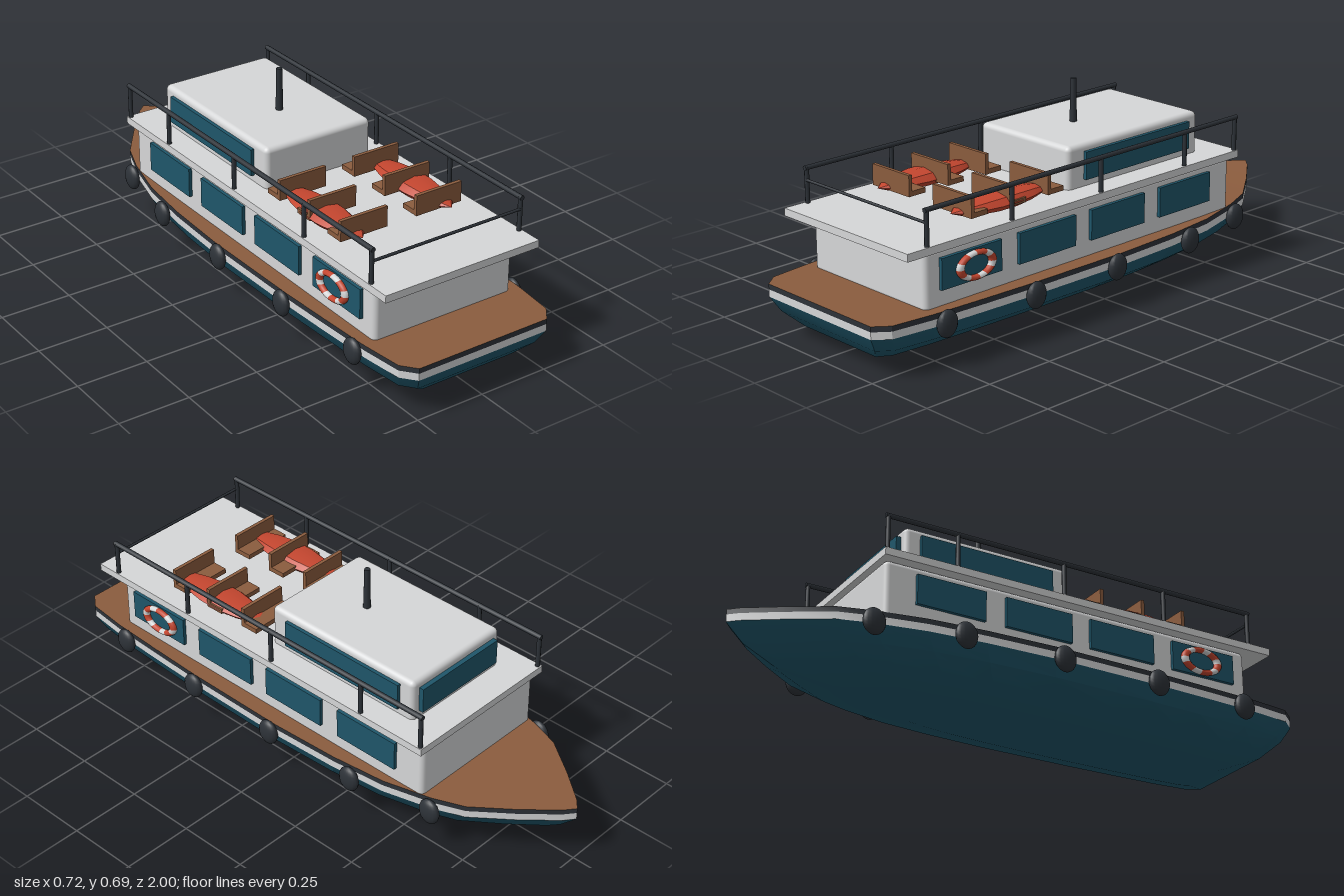
import * as THREE from 'three';
import { toCreasedNormals } from 'three/addons/utils/BufferGeometryUtils.js';
import { RoundedBoxGeometry } from 'three/addons/geometries/RoundedBoxGeometry.js';

const mat = (name, color) => Object.assign(new THREE.MeshStandardMaterial({ color }), { name });
const teal = mat('teal', 0x1f566a);
const white = mat('white', 0xd6d7d8);
const dark = mat('charcoal', 0x2d3238);
const wood = mat('wood', 0x8b5c3e);
const red = mat('red', 0xc4462f);

// Half plan outline of the deck edge, bow to stern: [x, z]
const outline = [[0, -1], [0.035, -0.97], [0.125, -0.86], [0.22, -0.73], [0.26, -0.62], [0.3, -0.45],
  [0.32, -0.25], [0.33, 0], [0.325, 0.4], [0.317, 0.6], [0.307, 0.8], [0.29, 0.95], [0.25, 1]];

// One side of the hull at a level: height, width scale, bow z and stern z
function halfRing([y, width, bow, stern]) {
  return outline.map(([x, z]) => {
    const rise = 0.022 * Math.max(0, (-z - 0.3) / 0.7) ** 2 * Math.min(1, y / 0.14);
    return [x * width, y + rise, bow + (z + 1) / 2 * (stern - bow)];
  });
}
const flip = ([x, y, z]) => [-x, y, z];

function fromQuads(quads) {
  const positions = [];
  for (const [a, b, c, d] of quads) positions.push(...a, ...b, ...c, ...a, ...c, ...d);
  const geometry = new THREE.BufferGeometry();
  geometry.setAttribute('position', new THREE.Float32BufferAttribute(positions, 3));
  return toCreasedNormals(geometry, 0.5);
}

// Skin through the levels, with an optional flat bottom
function hullSkin(levels, bottom) {
  const rings = levels.map((level) => {
    const half = halfRing(level);
    return [...half, ...half.slice(1).reverse().map(flip)];
  });
  const quads = [];
  for (let k = 0; k + 1 < rings.length; k++) {
    const lo = rings[k], hi = rings[k + 1];
    lo.forEach((p, i) => {
      const j = (i + 1) % lo.length;
      quads.push([p, hi[i], hi[j], lo[j]]);
    });
  }
  if (bottom) quads.push(...strip(levels[0]).map((q) => q.reverse()));
  return fromQuads(quads);
}

// Flat surface between both sides of a level
function strip(level) {
  const half = halfRing(level);
  return half.slice(1).map((p, i) => [half[i], flip(half[i]), flip(p), p]);
}

export function createModel() {
  const group = new THREE.Group();
  const add = (name, geometry, material, x = 0, y = 0, z = 0, parent = group) => {
    const mesh = new THREE.Mesh(geometry, material);
    mesh.name = name;
    mesh.position.set(x, y, z);
    parent.add(mesh);
    return mesh;
  };
  const box = (w, h, d) => new THREE.BoxGeometry(w, h, d);

  // Hull, painted bands and deck
  add('hull', hullSkin([[0, 0.31, -0.5, 0.8], [0.04, 0.69, -0.82, 0.92], [0.09, 0.92, -0.94, 0.97],
    [0.141, 1, -1, 1]], true), teal);
  add('hullStripe', hullSkin([[0.141, 1, -1, 1], [0.166, 1, -1, 1]]), white);
  add('rubRail', hullSkin([[0.166, 1, -1, 1], [0.184, 1, -1, 1]]), dark);
  add('deck', fromQuads(strip([0.184, 1, -1, 1])), wood);

  // Cabins and roof
  add('mainCabin', new RoundedBoxGeometry(0.54, 0.2, 1.39, 3, 0.018), white, 0, 0.272, 0.105);
  add('roof', box(0.596, 0.026, 1.495), white, 0, 0.385, 0.143);
  add('upperCabin', new RoundedBoxGeometry(0.418, 0.16, 0.62, 3, 0.018), white, 0, 0.463, -0.18);
  add('upperFrontWindow', box(0.36, 0.09, 0.02), teal, 0, 0.47, -0.497);
  add('mast', new THREE.CylinderGeometry(0.01, 0.013, 0.155, 12), dark, 0, 0.615, -0.1);

  const sphere = new THREE.SphereGeometry(1, 16, 12);
  const fenders = [[0.318, 0.755], [0.335, 0.395], [0.338, 0.03], [0.331, -0.33], [0.274, -0.625]];

  for (const side of [1, -1]) {
    // Side windows
    add('upperSideWindow', box(0.02, 0.095, 0.495), teal, side * 0.212, 0.47, -0.188);
    for (const z of [0.617, 0.291, -0.03, -0.355]) {
      add('cabinWindow', box(0.02, 0.104, 0.25), teal, side * 0.272, 0.29, z);
    }

    // Lifebuoy in alternating colours
    const buoy = new THREE.Group();
    buoy.name = 'lifebuoy';
    buoy.position.set(side * 0.287, 0.289, 0.605);
    buoy.rotation.y = Math.PI / 2;
    buoy.scale.set(1, 0.6, 0.85);
    group.add(buoy);
    for (let i = 0; i < 12; i++) {
      const arc = THREE.MathUtils.degToRad(i % 2 ? 25 : 35);
      const piece = add('lifebuoySection', new THREE.TorusGeometry(0.067, 0.015, 10, 5, arc),
        i % 2 ? white : red, 0, 0, 0, buoy);
      piece.rotation.z = THREE.MathUtils.degToRad(Math.floor(i / 2) * 60 + (i % 2 ? 35 : 0));
    }

    // Fenders along the hull
    for (const [x, z] of fenders) {
      add('fender', sphere, dark, side * x, 0.145, z).scale.set(0.02, 0.046, 0.04);
    }

    // Roof railing
    for (const z of [0.805, 0.455, 0.06, -0.34, -0.593]) {
      add('railPost', new THREE.CylinderGeometry(0.008, 0.008, 0.122, 8), dark, side * 0.288, 0.457, z);
    }
    const rail = add('topRail', new THREE.CylinderGeometry(0.0085, 0.0085, 1.415, 8), dark,
      side * 0.288, 0.515, 0.106);
    rail.rotation.x = Math.PI / 2;

    // Benches
    for (const z of [0.242, 0.407, 0.572]) {
      add('benchSeat', box(0.18, 0.017, 0.064), wood, side * 0.147, 0.427, z - 0.03);
      add('benchBack', box(0.18, 0.072, 0.013), wood, side * 0.147, 0.454, z);
    }

    // Kayak with pointed ends
    const profile = [[0, -0.205], [0.035, -0.165], [0.052, -0.11], [0.064, -0.04], [0.064, 0.04],
      [0.052, 0.11], [0.035, 0.165], [0, 0.205]].map(([r, h]) => new THREE.Vector2(r, h));
    const hull = new THREE.LatheGeometry(profile, 8).rotateX(Math.PI / 2).scale(1, 0.44, 1);
    add('kayak', toCreasedNormals(hull, 0.5), red, side * 0.175, 0.427, 0.405);
  }

  const sternRail = add('sternRail', new THREE.CylinderGeometry(0.005, 0.005, 0.576, 8), dark, 0, 0.475, 0.808);
  sternRail.rotation.z = Math.PI / 2;

  return group;
}
